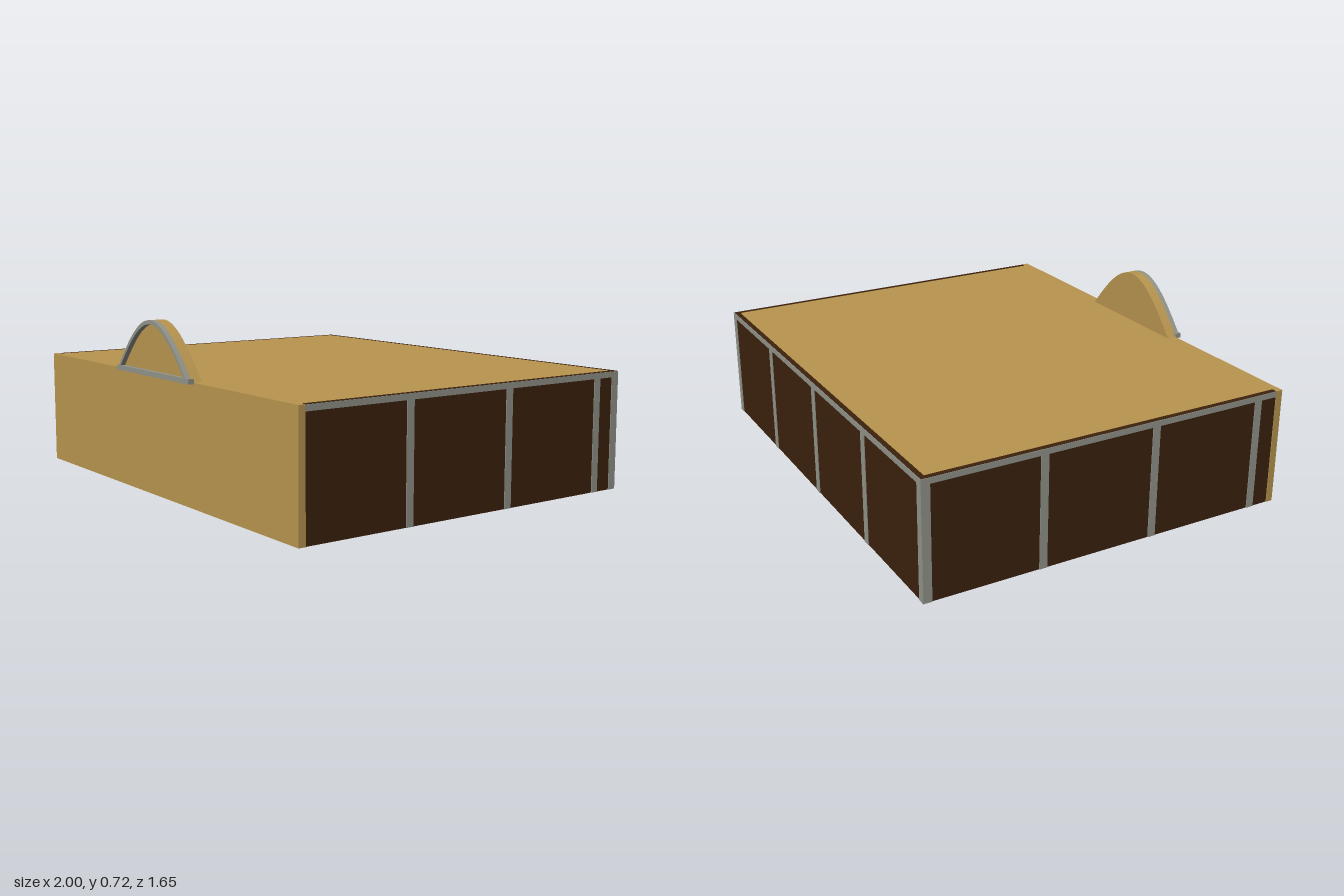
import * as THREE from 'three';

export function createModel() {
  const model = new THREE.Group();
  model.name = 'boxWithArch';
  const material = (name, color) => {
    const m = new THREE.MeshStandardMaterial({ color });
    m.name = name;
    return m;
  };
  const tan = material('tan', 0xb8954f);
  const brown = material('darkBrown', 0x3c220d);
  const gray = material('gray', 0x92948a);

  const add = (parent, name, geometry, mat) => {
    const mesh = new THREE.Mesh(geometry, mat);
    mesh.name = name;
    parent.add(mesh);
    return mesh;
  };
  // Box given by its lower and upper corners
  const box = (parent, name, mat, a, b) => {
    const g = new THREE.BoxGeometry(b[0] - a[0], b[1] - a[1], b[2] - a[2]);
    g.translate((a[0] + b[0]) / 2, (a[1] + b[1]) / 2, (a[2] + b[2]) / 2);
    return add(parent, name, g, mat);
  };

  // Shell, open underneath
  const front = 0.8, back = -0.825, top = 0.5, skin = 0.003, post = 0.034;
  box(model, 'frontWall', tan, [-1, 0, 0.77], [1, top, front]);
  box(model, 'roof', tan, [-0.975, 0.48, -0.8], [0.975, top, 0.77]);
  box(model, 'backWall', brown, [-1 + skin, 0, back + skin], [1 - skin, top, -0.8]);

  // Thin posts and top rail on the back wall
  box(model, 'backRail', gray, [-1, 0.475, back], [1, top - 0.001, back + skin]);
  for (const x of [-1 + post / 2, -0.5, 0, 0.5, 1 - post / 2]) {
    box(model, 'backPost', gray, [x - post / 2, 0, back], [x + post / 2, 0.475, back + skin]);
  }

  // Side walls with posts every half unit
  const sides = [
    { name: 'left', s: 1, posts: [0.3, -0.2, -0.7] },
    { name: 'right', s: -1, posts: [-0.32, 0.18, 0.68] },
  ];
  for (const { name, s, posts } of sides) {
    const plate = (part, mat, inner, outer, y0, y1, z0, z1) =>
      box(model, name + part, mat,
        [Math.min(s * inner, s * outer), y0, z0], [Math.max(s * inner, s * outer), y1, z1]);
    plate('Wall', brown, 0.975, 1 - skin, 0, top, -0.8, 0.77);
    plate('Rail', gray, 1 - skin, 1, 0.475, top - 0.001, back + skin, 0.77);
    for (const z of [...posts, back + skin + post / 2]) {
      plate('Post', gray, 1 - skin, 1, 0, 0.475, z - post / 2, z + post / 2);
    }
  }

  // Arched sign on the front edge
  const sign = new THREE.Group();
  sign.name = 'archedSign';
  model.add(sign);
  const half = 0.295, base = 0.498;
  const curve = (w, h, n = 40) => Array.from({ length: n + 1 }, (_, i) => {
    const t = 1 - (2 * i) / n;
    return new THREE.Vector2(t * w, base + h * Math.cos((t * Math.PI) / 2));
  });
  const outer = curve(half, 0.225);
  const inner = curve(half - 0.016, 0.208);
  const extrude = (points, depth, z) => new THREE.ExtrudeGeometry(new THREE.Shape(points),
    { depth, bevelEnabled: false }).translate(0, 0, z);
  add(sign, 'archPanel', extrude(outer, 0.044, 0.76), tan);
  add(sign, 'archTrim', extrude([...outer, ...inner.reverse()], 0.021, 0.804), gray);
  box(sign, 'archSill', gray, [-0.3, 0.495, 0.8], [0.3, 0.516, 0.825]);

  return model;
}
